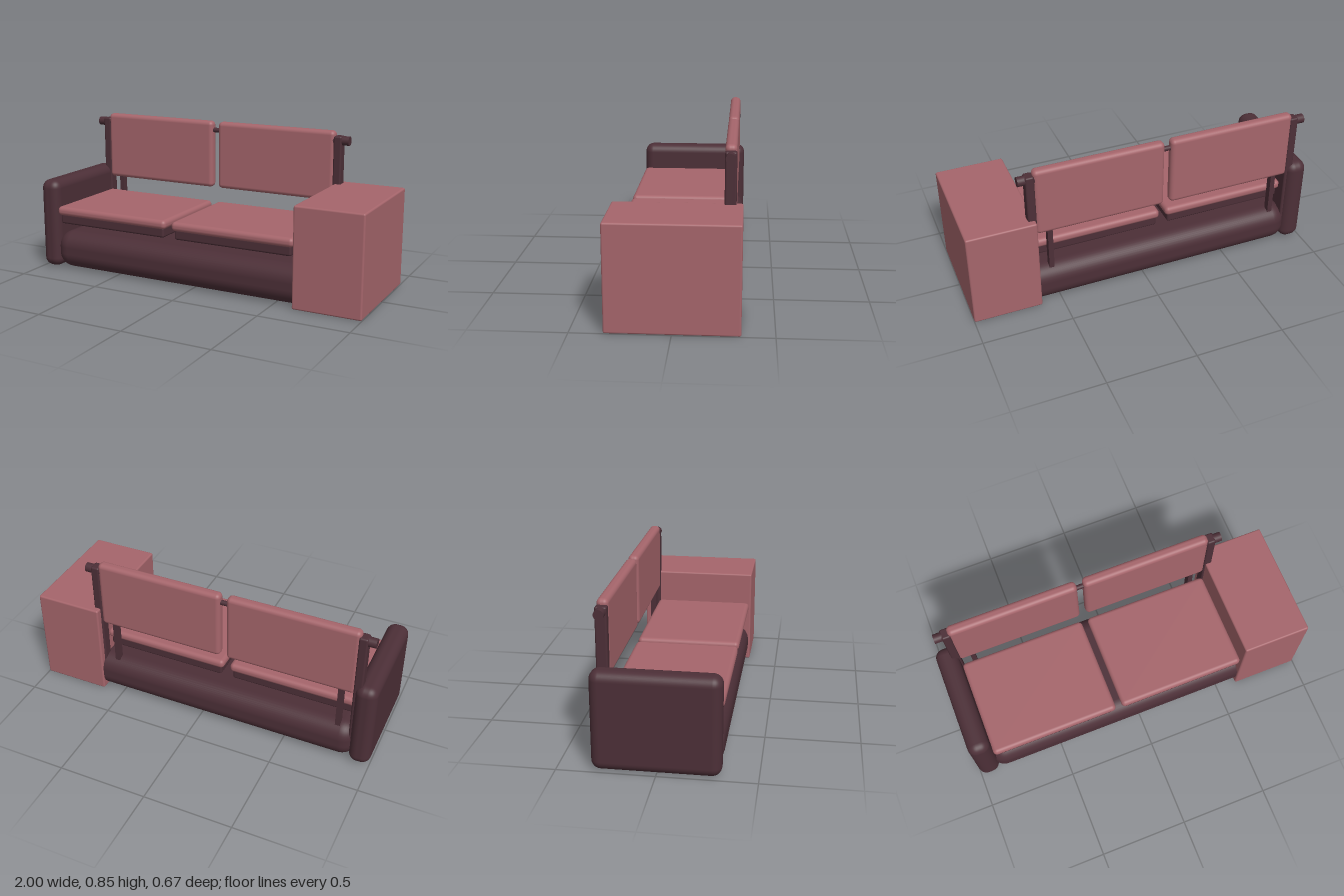
import * as THREE from 'three';
import { RoundedBoxGeometry } from 'three/addons/geometries/RoundedBoxGeometry.js';

export function createModel() {
  const sofa = new THREE.Group();
  sofa.name = 'sofa';

  const rose = new THREE.MeshStandardMaterial({ color: 0xa5656b });
  rose.name = 'rose fabric';
  const plum = new THREE.MeshStandardMaterial({ color: 0x4c2f37 });
  plum.name = 'dark plum';

  function add(name, geometry, material, x, y, z) {
    const mesh = new THREE.Mesh(geometry, material);
    mesh.name = name;
    mesh.position.set(x, y, z);
    sofa.add(mesh);
    return mesh;
  }

  // Rounded block given by its extents on each axis
  function block(name, material, [x0, x1], [y0, y1], [z0, z1], radius) {
    const geometry = new RoundedBoxGeometry(x1 - x0, y1 - y0, z1 - z0, 5, radius);
    return add(name, geometry, material, (x0 + x1) / 2, (y0 + y1) / 2, (z0 + z1) / 2);
  }

  // Horizontal rod along x
  function rod(name, x0, x1, radius) {
    const geometry = new THREE.CylinderGeometry(radius, radius, x1 - x0, 24);
    geometry.rotateZ(Math.PI / 2);
    return add(name, geometry, plum, (x0 + x1) / 2, 0.8, -0.27);
  }

  // Base, armrest and side table block
  block('base', plum, [-0.91, 0.7], [0.004, 0.222], [-0.328, 0.32], 0.09);
  block('armrest', plum, [-1, -0.878], [0.004, 0.526], [-0.328, 0.32], 0.05);
  block('sideBlock', rose, [0.617, 1], [0, 0.557], [-0.335, 0.332], 0.01);

  // Two seats, each a cushion on a tray with a backrest behind it
  for (const [side, x] of [['right', -0.515], ['left', 0.25]]) {
    block(side + 'SeatCushion', rose, [x - 0.364, x + 0.364], [0.325, 0.377], [-0.25, 0.32], 0.023);
    block(side + 'SeatTray', plum, [x - 0.348, x + 0.348], [0.275, 0.335], [-0.235, 0.305], 0.012);
    block(side + 'Backrest', rose, [x - 0.364, x + 0.364], [0.456, 0.853], [-0.3, -0.24], 0.024);
  }

  // Outer posts with rod ends, and slim struts below the backrests
  for (const [side, x] of [['right', -0.892], ['left', 0.632]]) {
    block(side + 'Post', plum, [x - 0.024, x + 0.024], [0.08, 0.826], [-0.3, -0.24], 0.01);
  }
  for (const [side, x] of [['right', -0.8], ['left', 0.538]]) {
    add(side + 'Strut', new THREE.BoxGeometry(0.028, 0.4, 0.036), plum, x, 0.3, -0.27);
  }
  rod('rightRodEnd', -0.957, -0.86, 0.026);
  rod('leftRodEnd', 0.6, 0.695, 0.026);
  rod('crossRod', -0.88, 0.62, 0.014);

  return sofa;
}
